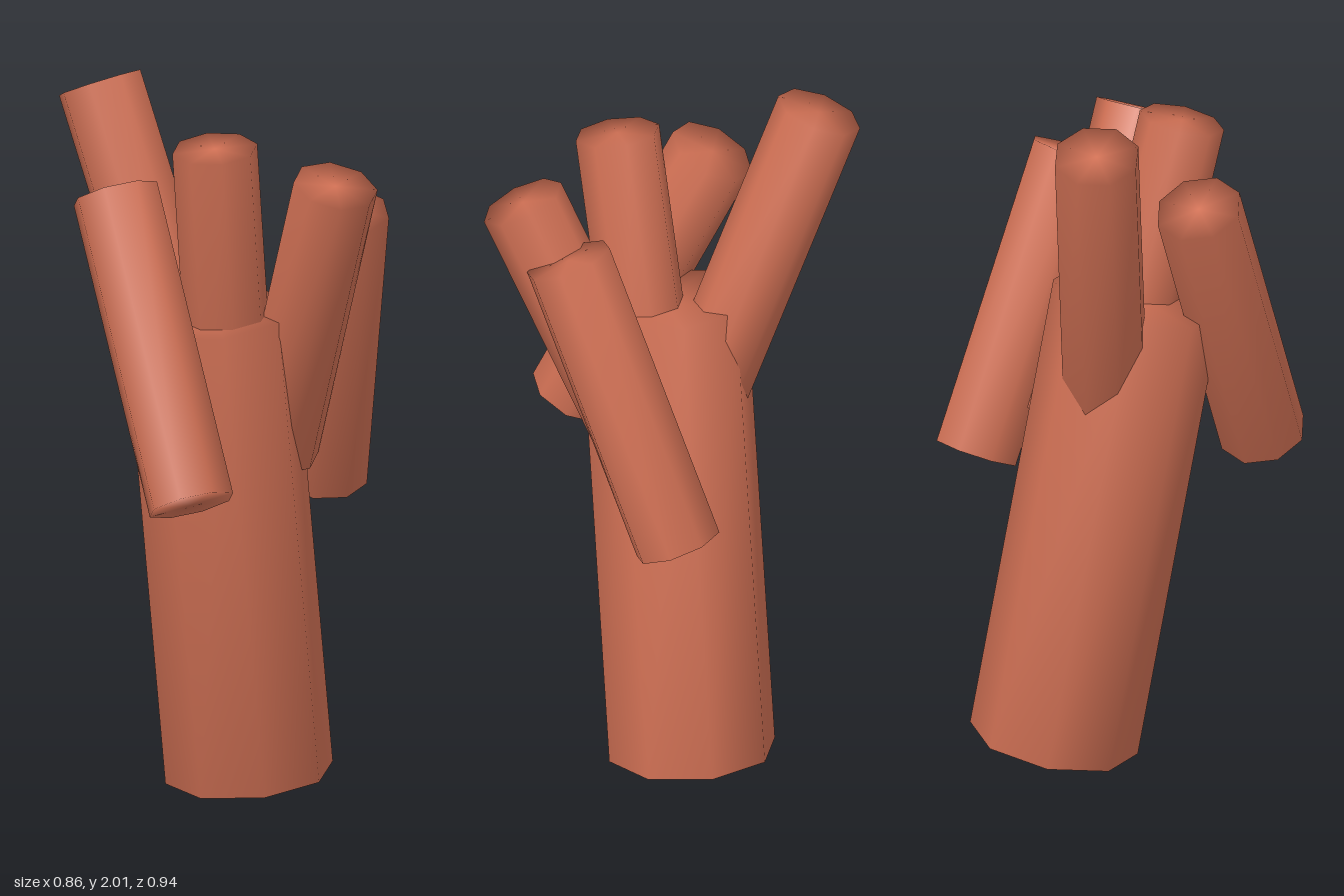
import * as THREE from 'three';
import { mergeVertices } from 'three/addons/utils/BufferGeometryUtils.js';

const SIDES = 8;

// Octagonal rod between two points, normals shared across the rims for soft ends
function rod(name, top, bottom, radius, twist, material) {
  const a = new THREE.Vector3(...bottom);
  const b = new THREE.Vector3(...top);
  const axis = b.clone().sub(a);
  let geo = new THREE.CylinderGeometry(radius, radius, axis.length(), SIDES, 1);
  geo.rotateY(twist);
  geo.deleteAttribute('uv');
  geo.deleteAttribute('normal');
  geo = mergeVertices(geo, 1e-4);
  geo.computeVertexNormals();
  const mesh = new THREE.Mesh(geo, material);
  mesh.name = name;
  mesh.position.copy(a).add(b).multiplyScalar(0.5);
  mesh.quaternion.setFromUnitVectors(new THREE.Vector3(0, 1, 0), axis.normalize());
  return mesh;
}

export function createModel() {
  const group = new THREE.Group();
  group.name = 'branchingStump';

  const clay = new THREE.MeshStandardMaterial({ color: 0xd07054 });
  clay.name = 'terracotta';

  const half = Math.PI / SIDES;
  // name, top centre, bottom centre, radius, twist about the axis
  const parts = [
    ['trunk', [-0.055, 1.37, 0.0], [0.09, 0.04, -0.18], 0.237, 0],
    ['backLeftBranch', [-0.3, 1.965, -0.357], [-0.07, 1.13, -0.13], 0.122, half],
    ['leftBranch', [-0.318, 1.715, 0.0], [-0.167, 0.895, 0.362], 0.123, half],
    ['rightBranch', [0.315, 1.665, 0.085], [0.315, 0.855, -0.27], 0.1245, half],
    ['middleBranch', [-0.065, 1.86, 0.155], [0.02, 0.99, -0.03], 0.12, 0],
    ['frontRightBranch', [0.255, 1.765, 0.27], [0.15, 0.965, -0.09], 0.12, 0],
  ];
  for (const [name, top, bottom, radius, twist] of parts) {
    group.add(rod(name, top, bottom, radius, twist, clay));
  }
  return group;
}
